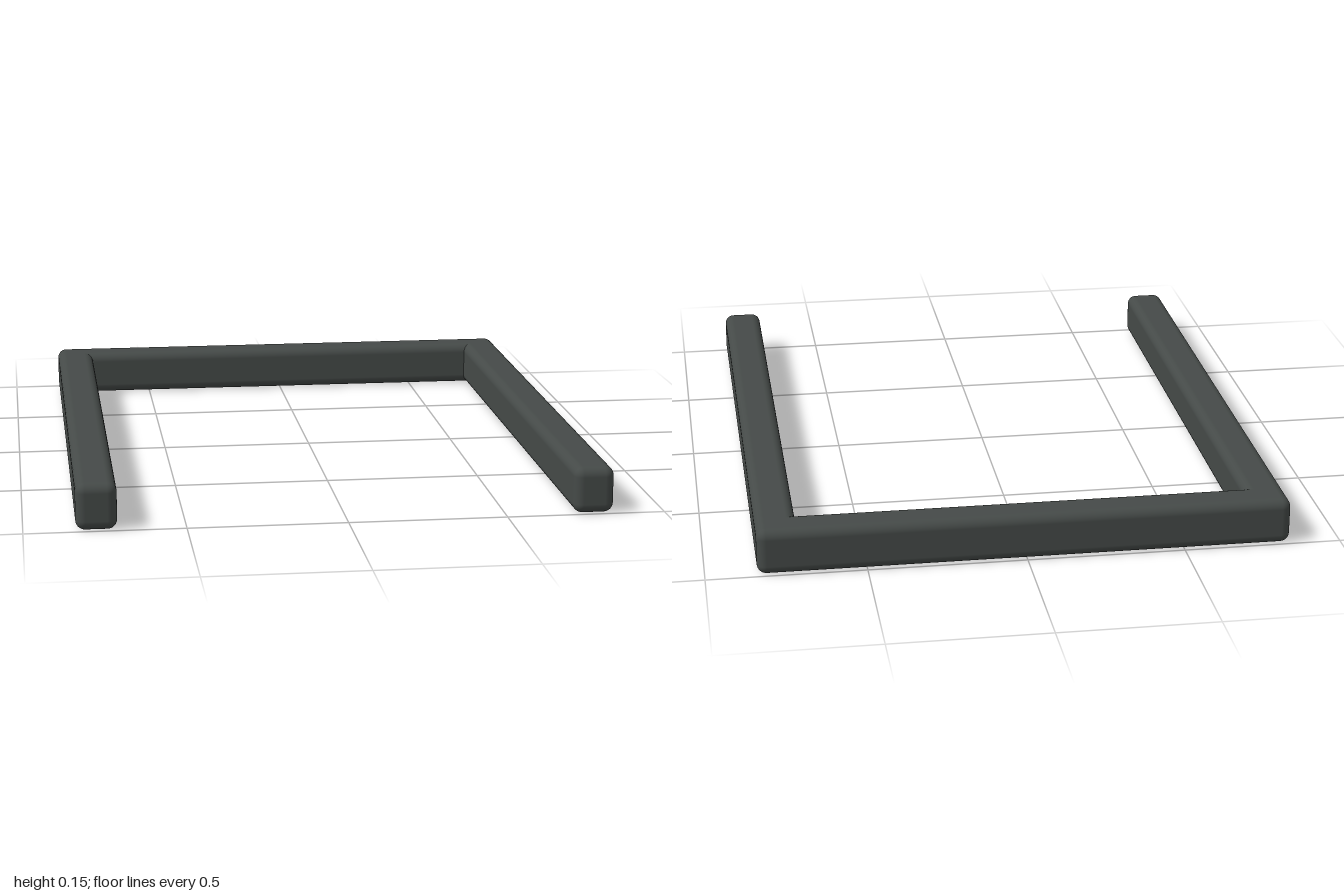
import * as THREE from 'three';
import { RoundedBoxGeometry } from 'three/addons/geometries/RoundedBoxGeometry.js';

const HALF_WIDTH = 0.84, LENGTH = 2, HEIGHT = 0.148, THICK = 0.128, RADIUS = 0.03;

export function createModel() {
  const group = new THREE.Group();
  group.name = 'uShapedFrame';
  const material = new THREE.MeshStandardMaterial({ color: 0x454a48 });

  // Soft-edged bar resting on the ground
  function addBar(name, width, depth, x, z) {
    const bar = new THREE.Mesh(new RoundedBoxGeometry(width, HEIGHT, depth, 4, RADIUS), material);
    bar.name = name;
    bar.position.set(x, HEIGHT / 2, z);
    group.add(bar);
  }

  // Side arms running front to back
  for (const side of [-1, 1]) {
    addBar(side > 0 ? 'leftArm' : 'rightArm', THICK, LENGTH, side * (HALF_WIDTH - THICK / 2), 0);
  }

  // Rear bar joining the arms
  addBar('backBar', HALF_WIDTH * 2, THICK, 0, -LENGTH / 2 + THICK / 2);

  return group;
}
